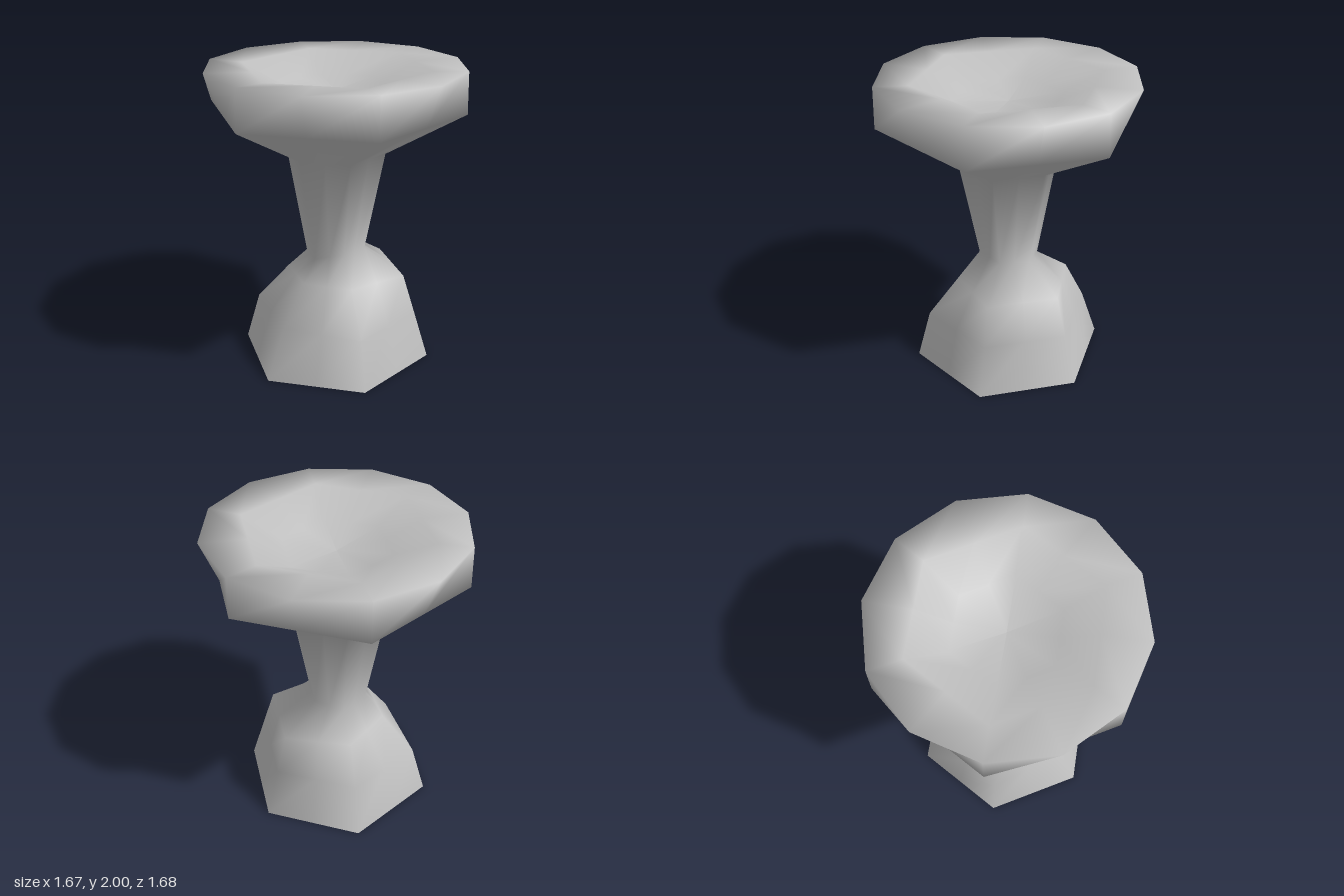
import * as THREE from 'three';

const SIDES = 6;

// Six-sided ring with a middle point on every edge; radius and height may vary per corner.
function hexRing(radius, height) {
  const at = (v, k) => (Array.isArray(v) ? v[k % SIDES] : v);
  const corner = (k) => {
    const a = (k * Math.PI * 2) / SIDES;
    return new THREE.Vector3(Math.sin(a) * at(radius, k), at(height, k), Math.cos(a) * at(radius, k));
  };
  const ring = [];
  for (let k = 0; k < SIDES; k++) {
    ring.push(corner(k), corner(k).lerp(corner(k + 1), 0.5));
  }
  return ring;
}

// Regular twelve-sided ring
function roundRing(radius, y) {
  return Array.from({ length: SIDES * 2 }, (_, k) => {
    const a = (k * Math.PI) / SIDES;
    return new THREE.Vector3(Math.sin(a) * radius, y, Math.cos(a) * radius);
  });
}

// Smooth skin over a stack of rings
function loft(rings) {
  const n = SIDES * 2;
  const index = [];
  for (let i = 0; i < rings.length - 1; i++) {
    for (let k = 0; k < n; k++) {
      const a = i * n + k, b = i * n + ((k + 1) % n);
      index.push(a, b, b + n, a, b + n, a + n);
    }
  }
  const geometry = new THREE.BufferGeometry().setFromPoints(rings.flat());
  geometry.setIndex(index);
  geometry.computeVertexNormals();
  return geometry;
}

export function createModel() {
  const group = new THREE.Group();
  group.name = 'pedestalBowl';
  const stone = new THREE.MeshStandardMaterial({ color: 0xc0c0c0, side: THREE.DoubleSide });
  stone.name = 'grey stone';

  const body = new THREE.Mesh(
    loft([
      // hollow foot, with an uneven shoulder
      hexRing(0.65, 0),
      hexRing([0.56, 0.55, 0.55, 0.54, 0.555, 0.5], 0.33),
      hexRing([0.352, 0.47, 0.47, 0.41, 0.33, 0.31], 0.59),
      // stem
      hexRing(0.2, [0.78, 0.77, 0.76, 0.72, 0.72, 0.73]),
      hexRing(0.33, 1.44),
      // bowl outside and rim
      hexRing(0.84, 1.73),
      roundRing(0.835, 2),
      hexRing(0.62, 1.99),
      // bowl inside
      hexRing(0.36, 1.87),
      hexRing(0.001, 1.84),
    ]),
    stone
  );
  body.name = 'footStemAndBowl';
  group.add(body);
  return group;
}
